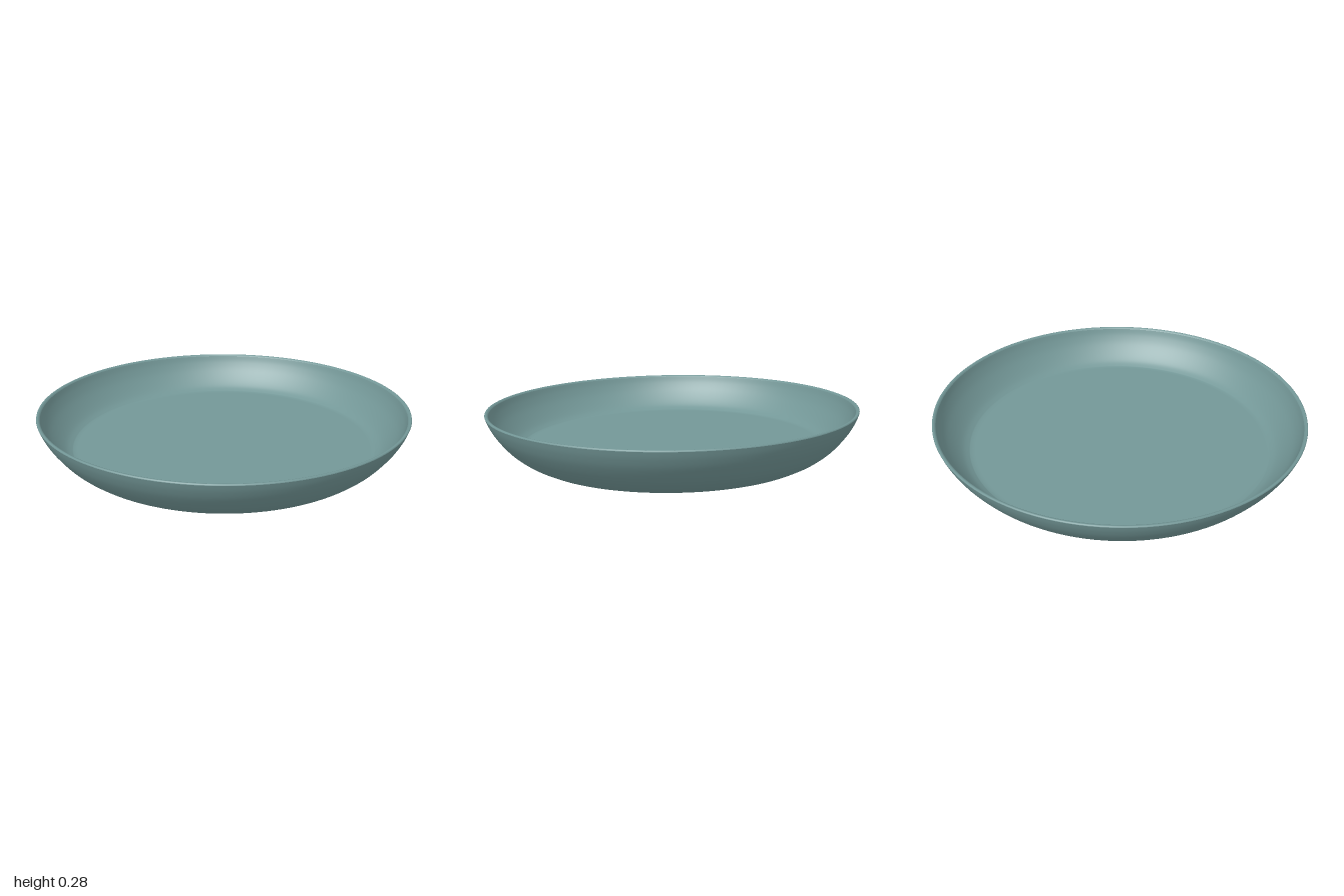
import * as THREE from 'three';

const glaze = new THREE.MeshStandardMaterial({ color: 0x739797 });
glaze.name = 'sage glaze';

// Revolve a [radius, height] profile; bottom-up order faces outward
function turn(name, points) {
  const profile = points.map(([r, y]) => new THREE.Vector2(r, y));
  const mesh = new THREE.Mesh(new THREE.LatheGeometry(profile, 128), glaze);
  mesh.name = name;
  return mesh;
}

// Smooth the profile through a few guide points
function smooth(points, n) {
  return new THREE.SplineCurve(points.map(([r, y]) => new THREE.Vector2(r, y)))
    .getPoints(n).map((p) => [p.x, p.y]);
}

export function createModel() {
  const model = new THREE.Group();
  const plate = new THREE.Group();
  plate.name = 'plate';

  // Recessed underside with a small central ridge
  plate.add(turn('underside', [
    [0, 0.03], [0.265, 0.03], [0.275, 0.029], [0.288, 0.021], [0.298, 0.011],
    [0.305, 0.009], [0.312, 0.011], [0.322, 0.021], [0.335, 0.029], [0.345, 0.03],
    [0.71, 0.03], [0.72, 0.029], [0.735, 0.02], [0.748, 0.006], [0.758, 0],
  ]));

  // Standing foot
  plate.add(turn('footRing', [[0.758, 0], [0.768, 0], [0.778, 0.002], [0.788, 0.007]]));

  // Curved outer wall
  plate.add(turn('outerWall', smooth([
    [0.788, 0.007], [0.84, 0.037], [0.9, 0.088], [0.955, 0.158], [0.985, 0.212], [1, 0.252],
  ], 24)));

  // Narrow rounded lip
  plate.add(turn('rim', [[1, 0.252], [0.999, 0.257], [0.994, 0.259], [0.986, 0.257], [0.981, 0.25]]));

  // Inside wall sweeping into the flat floor
  plate.add(turn('innerBowl', [
    ...smooth([
      [0.981, 0.25], [0.967, 0.212], [0.94, 0.163], [0.9, 0.112], [0.86, 0.073], [0.825, 0.052],
    ], 24),
    [0.81, 0.05], [0.8, 0.05], [0, 0.05],
  ]));

  // Rests with a very slight tilt
  plate.rotation.set(0.01, 0, -0.01);
  plate.position.y = 0.011;
  model.add(plate);
  return model;
}
